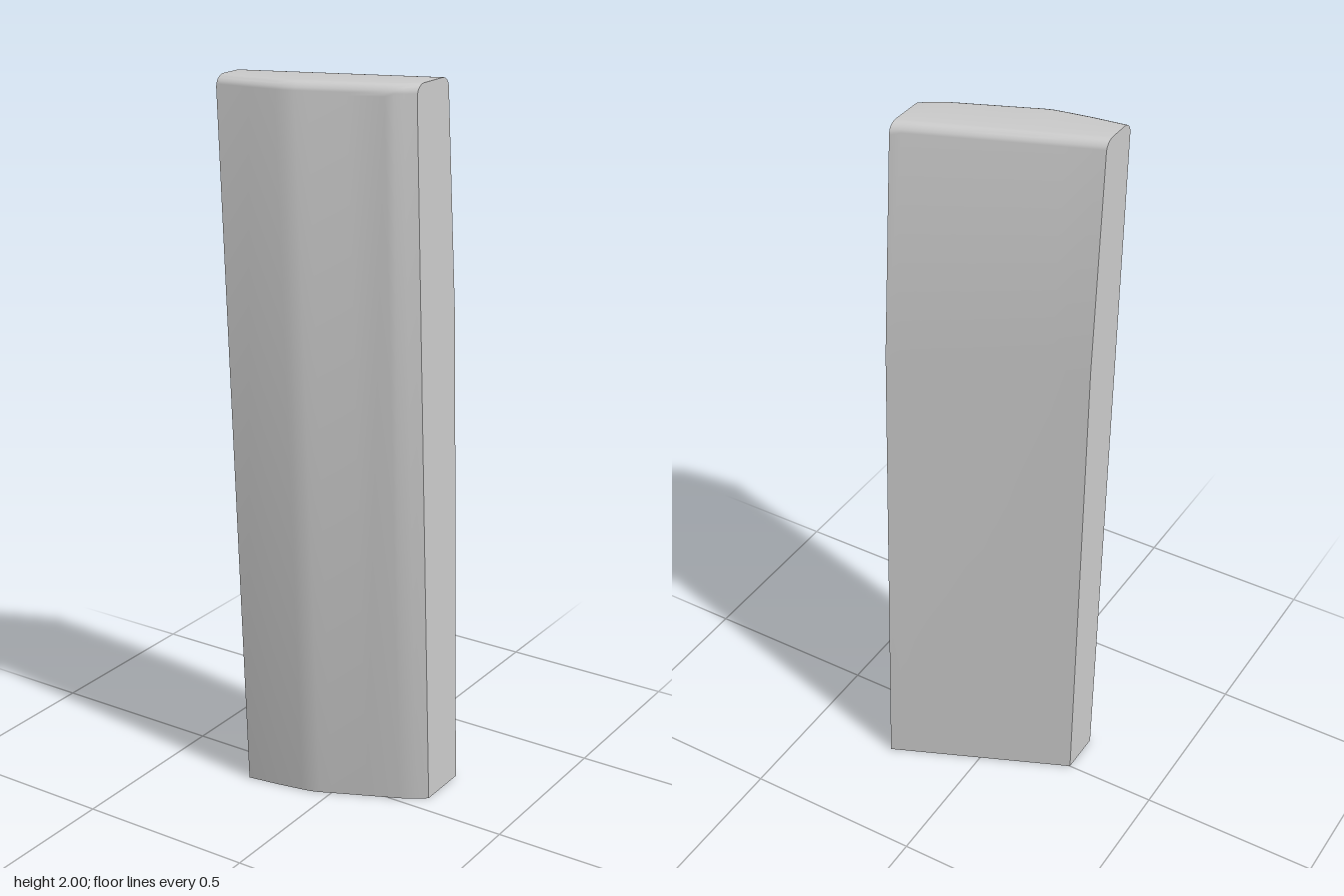
import * as THREE from 'three';
import { toCreasedNormals } from 'three/addons/utils/BufferGeometryUtils.js';

// Front outline at the top, as [x, z]: two flats joined by soft bends
const FRONT = [[-0.242, 0.206], [-0.15, 0.197], [-0.08, 0.187], [-0.055, 0.183], [-0.03, 0.175], [0, 0.162],
  [0.09, 0.125], [0.175, 0.09], [0.195, 0.08], [0.215, 0.068], [0.242, 0.049]];
const FILLET = 0.03, STEPS = 6;

// Closed side section at one x: up the front, over the rounded top, down the back
function section([x, zTop]) {
  const t = (x + 0.242) / 0.484;
  const mix = (a, b) => a + (b - a) * t;
  const back = [mix(0, -0.208), mix(0.045, -0.152), mix(0.086, -0.1)];
  const pts = [[zTop - mix(0.085, 0.108), 0]];
  for (let i = 0; i <= STEPS; i++) {
    const a = (i / STEPS) * Math.PI / 2;
    pts.push([zTop - FILLET * (1 - Math.cos(a)), 2 - FILLET * (1 - Math.sin(a))]);
  }
  for (let i = STEPS; i >= 0; i--) {
    const a = (i / STEPS) * Math.PI / 2;
    pts.push([back[2] + FILLET * (1 - Math.cos(a)), 2 - FILLET * (1 - Math.sin(a))]);
  }
  pts.push([back[1], 1.37], [back[0], 0]);
  return pts.map(([z, y]) => new THREE.Vector3(x, y, z));
}

export function createModel() {
  const rings = FRONT.map(section);
  const n = rings[0].length;
  const pos = [];
  const tri = (...v) => v.forEach((p) => pos.push(p.x, p.y, p.z));
  // Skin between neighbouring sections
  for (let i = 0; i < rings.length - 1; i++) {
    for (let j = 0; j < n; j++) {
      const k = (j + 1) % n, a = rings[i], b = rings[i + 1];
      tri(a[j], b[j], b[k]);
      tri(a[j], b[k], a[k]);
    }
  }
  // Flat side faces
  for (const [ring, flip] of [[rings[0], false], [rings[rings.length - 1], true]]) {
    const c = new THREE.Vector3();
    ring.forEach((p) => c.addScaledVector(p, 1 / n));
    ring.forEach((p, j) => {
      const q = ring[(j + 1) % n];
      if (flip) tri(c, q, p);
      else tri(c, p, q);
    });
  }
  const geometry = new THREE.BufferGeometry();
  geometry.setAttribute('position', new THREE.Float32BufferAttribute(pos, 3));
  const slab = new THREE.Mesh(
    toCreasedNormals(geometry, Math.PI / 6),
    new THREE.MeshStandardMaterial({ color: 0xcccccc }),
  );
  slab.name = 'leaningSlab';
  const group = new THREE.Group();
  group.name = 'slabModel';
  group.add(slab);
  return group;
}
